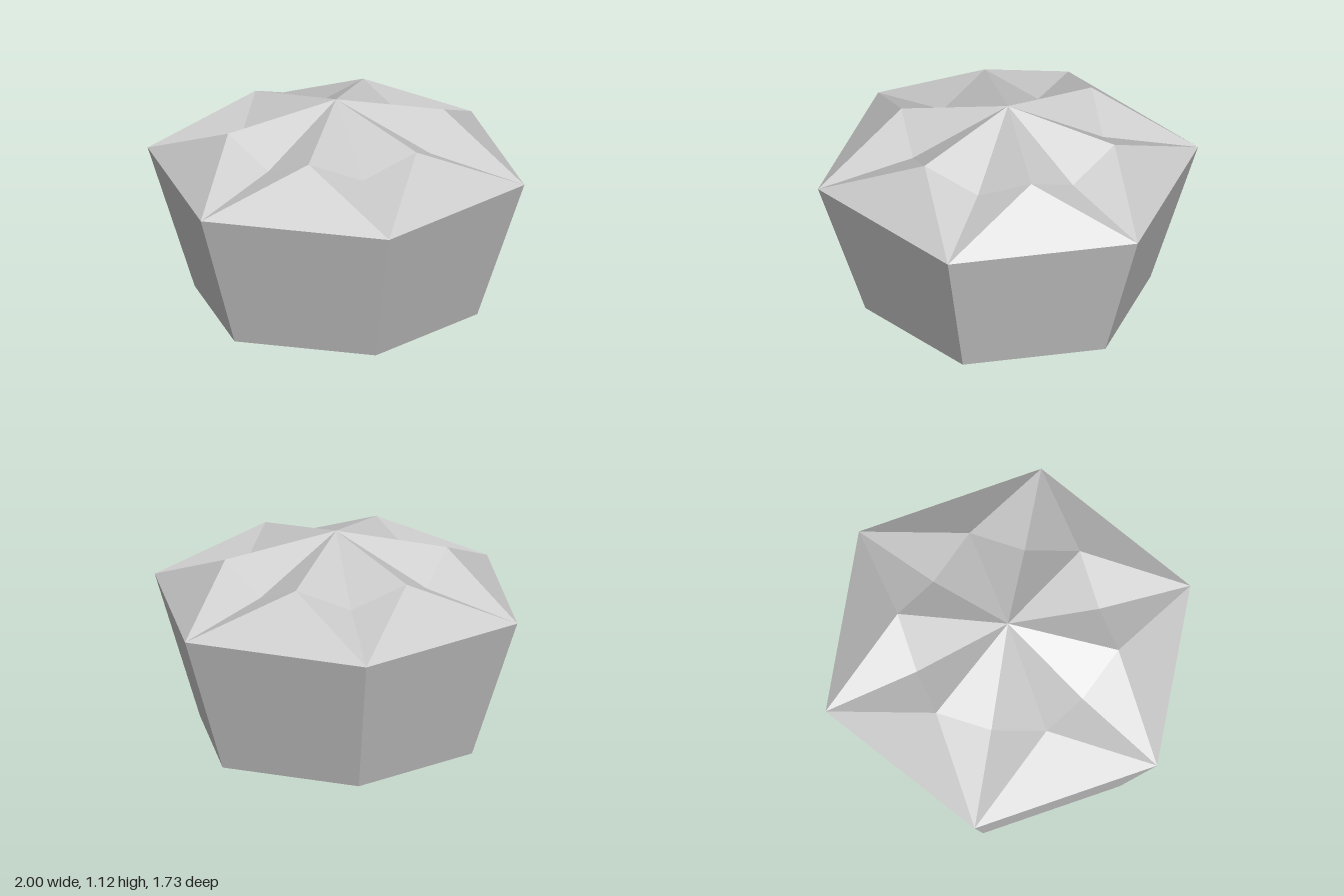
import * as THREE from 'three';

const SIDES = 6;
const STEP = (Math.PI * 2) / SIDES;

// Point at a given radius, height and angle around the vertical axis
const polar = (r, y, a) => [r * Math.cos(a), y, r * Math.sin(a)];

export function createModel() {
  const group = new THREE.Group();
  const material = new THREE.MeshStandardMaterial({ color: 0xcccccc, flatShading: true });

  const add = (name, geometry) => {
    const mesh = new THREE.Mesh(geometry, material);
    mesh.name = name;
    group.add(mesh);
    return mesh;
  };

  // Tapered hexagonal wall, corners on the x axis
  const wall = new THREE.CylinderGeometry(1, 0.75, 0.75, SIDES, 1, true, Math.PI / 2);
  add('taperedWall', wall.translate(0, 0.375, 0));

  // Flat hexagonal underside
  add('base', new THREE.CircleGeometry(0.75, SIDES).rotateX(Math.PI / 2));

  // Faceted star crown: peaks above each side, creased valleys running to each corner
  const apex = [0, 1.125, 0];
  const positions = [];
  const tri = (...points) => points.forEach((p) => positions.push(...p));
  for (let i = 0; i < SIDES; i++) {
    const a = i * STEP;
    const corner = polar(1, 0.75, a);
    const nextCorner = polar(1, 0.75, a + STEP);
    const valley = polar(0.5, 0.875, a);
    const peak = polar(1 / Math.sqrt(3), 1, a + STEP / 2);
    const lastPeak = polar(1 / Math.sqrt(3), 1, a - STEP / 2);
    tri(peak, nextCorner, corner); // outer slope
    tri(apex, peak, valley); // inner valley sides
    tri(apex, valley, lastPeak);
    tri(peak, corner, valley); // outer valley sides
    tri(valley, corner, lastPeak);
  }
  const crown = new THREE.BufferGeometry();
  crown.setAttribute('position', new THREE.Float32BufferAttribute(positions, 3));
  crown.computeVertexNormals();
  add('starCrown', crown);

  return group;
}
